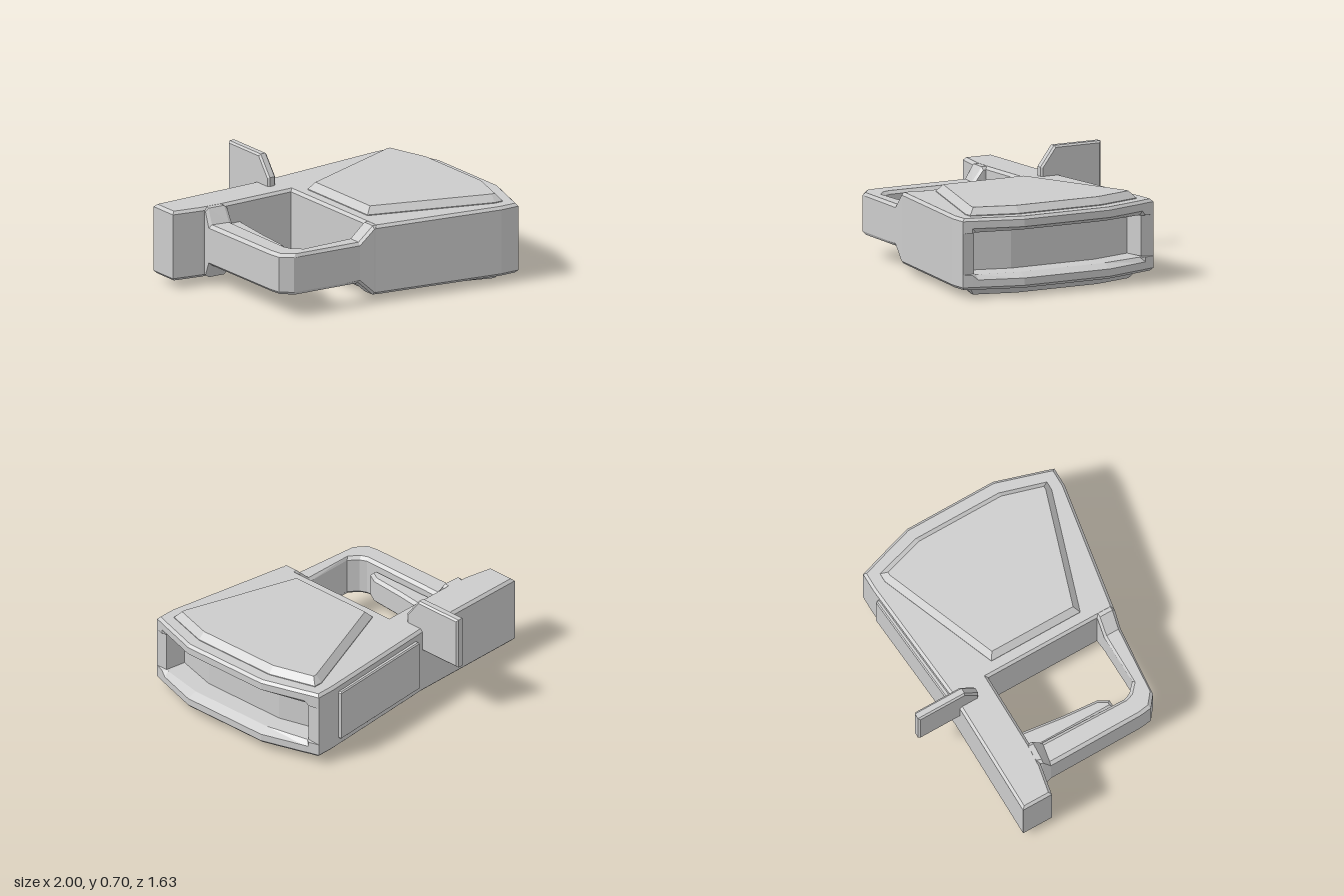
import * as THREE from 'three';

const material = new THREE.MeshStandardMaterial({ color: 0xcccccc, flatShading: true });

// Skin a stack of matching [x, y, z] rings; optional flat caps at both ends
function skin(rings, caps = true) {
  const pos = [];
  const tri = (a, b, c) => pos.push(...a, ...b, ...c);
  for (let k = 0; k < rings.length - 1; k++) {
    const a = rings[k], b = rings[k + 1];
    for (let i = 0; i < a.length; i++) {
      const j = (i + 1) % a.length;
      tri(a[i], b[i], b[j]);
      tri(a[i], b[j], a[j]);
    }
  }
  if (caps) {
    const lo = rings[0], hi = rings[rings.length - 1];
    const faces = (r) => THREE.ShapeUtils.triangulateShape(r.map((p) => new THREE.Vector2(p[0], p[2])), []);
    for (const [i, j, k] of faces(lo)) tri(lo[i], lo[j], lo[k]);
    for (const [i, j, k] of faces(hi)) tri(hi[k], hi[j], hi[i]);
  }
  const g = new THREE.BufferGeometry();
  g.setAttribute('position', new THREE.Float32BufferAttribute(pos, 3));
  g.computeVertexNormals();
  return g;
}

// Move every edge of an [x, z] outline inward by d
function inset(outline, d) {
  const n = outline.length;
  const normal = (a, b) => {
    const dx = b[0] - a[0], dz = b[1] - a[1], l = Math.hypot(dx, dz);
    return [-dz / l, dx / l];
  };
  return outline.map((p, i) => {
    const u = normal(outline[(i + n - 1) % n], p), v = normal(p, outline[(i + 1) % n]);
    const s = d / (1 + u[0] * v[0] + u[1] * v[1]);
    return [p[0] + (u[0] + v[0]) * s, p[1] + (u[1] + v[1]) * s];
  });
}

const atHeight = (outline, y) => outline.map(([x, z]) => [x, y, z]);

// Upright prism with chamfered top and bottom edges
function chamferedPrism(outline, y0, y1, c) {
  const small = inset(outline, c);
  return skin([atHeight(small, y0), atHeight(outline, y0 + c), atHeight(outline, y1 - c), atHeight(small, y1)]);
}

export function createModel() {
  const group = new THREE.Group();
  const add = (name, geometry) => {
    const mesh = new THREE.Mesh(geometry, material);
    mesh.name = name;
    group.add(mesh);
    return mesh;
  };

  // Main body with rear bar; the end face is cut by a long slot
  const before = [[-1, -0.52], [-0.15, -0.52], [0.75, -0.59], [0.88, -0.59]];
  const after = [[0.88, 0.81], [0.75, 0.81], [-0.12, 0.66], [-0.12, -0.26], [-0.65, -0.26], [-0.8, -0.27], [-1, -0.31]];
  const withEnd = (end) => [...before, ...end, ...after];
  const full = withEnd([[0.9, -0.52], [0.911, -0.49], [1, -0.2], [1, 0.43], [0.911, 0.715], [0.9, 0.75]]);
  const lip = withEnd([[0.9, -0.52], [0.88, -0.49], [0.94, -0.19], [0.94, 0.42], [0.88, 0.715], [0.9, 0.75]]);
  const floor = withEnd([[0.88, -0.5], [0.74, -0.48], [0.82, -0.19], [0.82, 0.42], [0.74, 0.705], [0.88, 0.73]]);
  const edge = inset(full, 0.018);
  add('body', skin([
    atHeight(edge, 0.05), atHeight(full, 0.068), atHeight(full, 0.115), atHeight(lip, 0.145),
    atHeight(floor, 0.15), atHeight(floor, 0.41), atHeight(lip, 0.415), atHeight(full, 0.445),
    atHeight(full, 0.492), atHeight(edge, 0.51),
  ]));

  // Raised panels on the upper and lower faces
  const panel = [[-0.04, -0.19], [0.76, -0.5], [0.82, -0.5], [0.91, -0.19], [0.91, 0.42], [0.82, 0.72], [0.76, 0.72], [-0.04, 0.46]];
  const panelTop = inset(panel, 0.04);
  add('upperPanel', skin([atHeight(panel, 0.5), atHeight(panel, 0.515), atHeight(panelTop, 0.56)]));
  add('lowerPanel', skin([atHeight(panelTop, 0), atHeight(panel, 0.045), atHeight(panel, 0.06)]));

  // Guard loop: outer x,z, inner x,z and half height of each section
  const sections = [
    [-0.77, -0.3, -0.63, -0.3, 0.229], [-0.79, -0.25, -0.63, -0.24, 0.229],
    [-0.8, -0.2, -0.64, -0.17, 0.135], [-0.795, 0.46, -0.65, 0.43, 0.135],
    [-0.785, 0.54, -0.63, 0.475, 0.135], [-0.71, 0.6, -0.57, 0.53, 0.135],
    [-0.23, 0.645, -0.23, 0.525, 0.135], [-0.13, 0.66, -0.13, 0.535, 0.229], [-0.1, 0.66, -0.1, 0.535, 0.229],
  ];
  add('guard', skin(sections.map(([ox, oz, ix, iz, h]) => {
    const point = (t, y) => [ox + (ix - ox) * t, 0.28 + y, oz + (iz - oz) * t];
    const c = 0.02, t = 0.14;
    return [point(0, c - h), point(0, h - c), point(t, h), point(1 - t, h),
      point(1, h - c), point(1, c - h), point(1 - t, -h), point(t, -h)];
  }), false));

  // Curved lever inside the guard
  add('lever', chamferedPrism(
    [[-0.645, -0.28], [-0.495, -0.28], [-0.535, 0.04], [-0.555, 0.28], [-0.595, 0.35], [-0.645, 0.35]], 0.19, 0.37, 0.02));

  // Upright fin at the back
  const b = 0.012;
  const fin = new THREE.Shape([[0.392, 0.362], [0.808, 0.362], [0.808, 0.688], [0.486, 0.688], [0.392, 0.565]]
    .map(([x, y]) => new THREE.Vector2(x, y)));
  const finGeometry = new THREE.ExtrudeGeometry(fin, { depth: 0.06 - 2 * b, bevelThickness: b, bevelSize: b, bevelSegments: 1 });
  finGeometry.rotateY(Math.PI / 2);
  add('fin', finGeometry).position.x = -0.21 + b;

  // Thin plate on the back face
  add('backPlate', chamferedPrism([[-0.09, -0.552], [0.69, -0.608], [0.7, -0.57], [-0.09, -0.51]], 0.11, 0.455, 0.008));

  return group;
}
